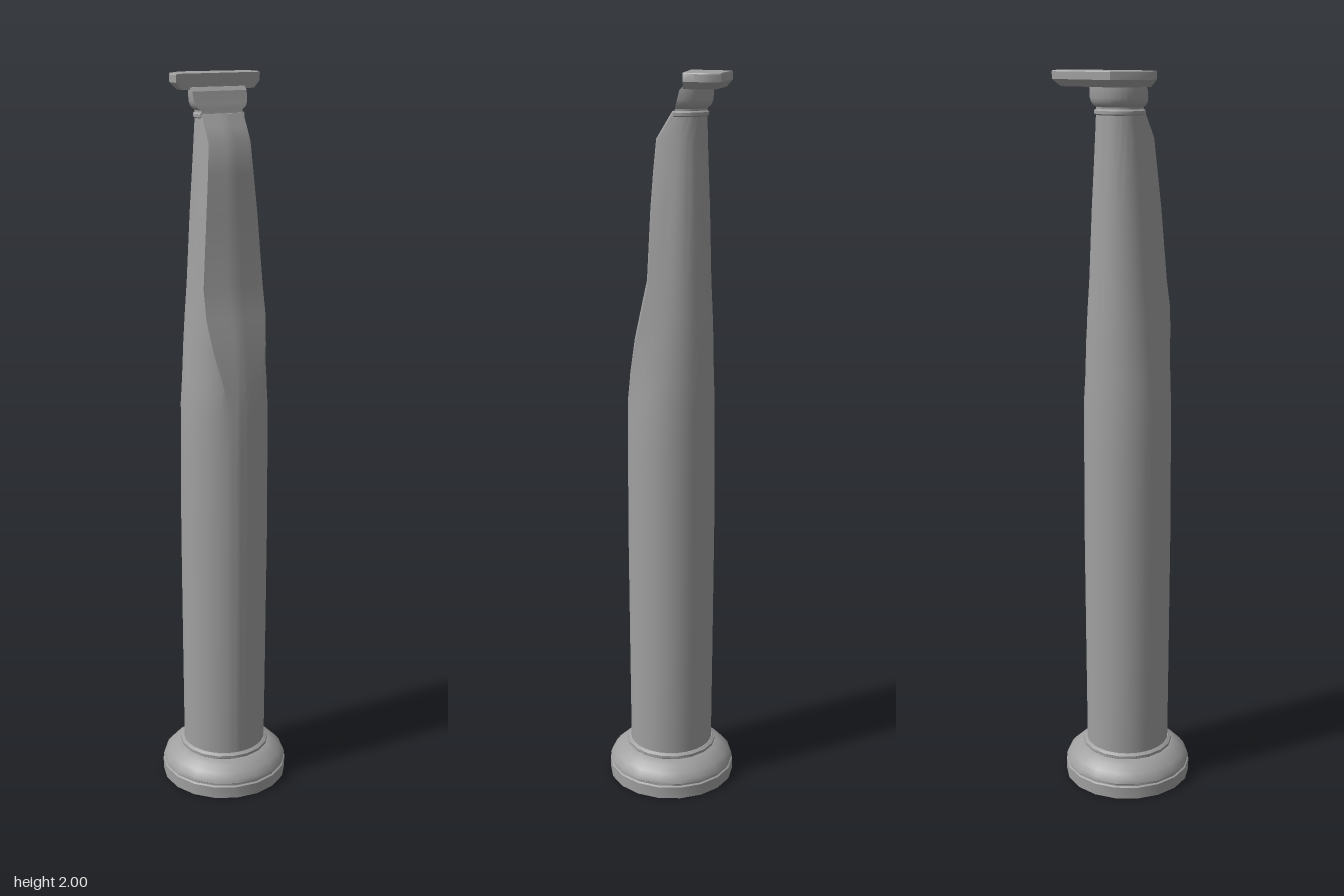
import * as THREE from 'three';
import { toCreasedNormals } from 'three/addons/utils/BufferGeometryUtils.js';

const CREASE = 0.5, FACE = 12, ARC = 36;
const material = new THREE.MeshStandardMaterial({ color: 0xa0a0a0 });

function part(name, geometry) {
  const mesh = new THREE.Mesh(toCreasedNormals(geometry, CREASE), material);
  mesh.name = name;
  return mesh;
}

// Skins a stack of equal-length rings and closes both ends with fans
function loft(name, rings) {
  const pos = [], n = rings[0].length;
  const tri = (...pts) => pts.forEach(p => pos.push(p.x, p.y, p.z));
  const middle = r => r.reduce((s, p) => s.add(p), new THREE.Vector3()).divideScalar(n);
  const low = rings[0], high = rings[rings.length - 1];
  const lowMiddle = middle(low), highMiddle = middle(high);
  for (let j = 0; j < n; j++) {
    const k = (j + 1) % n;
    for (let i = 0; i < rings.length - 1; i++) {
      const a = rings[i], b = rings[i + 1];
      tri(a[j], b[j], a[k]);
      tri(b[j], b[k], a[k]);
    }
    tri(lowMiddle, low[j], low[k]);
    tri(highMiddle, high[k], high[j]);
  }
  const geo = new THREE.BufferGeometry();
  geo.setAttribute('position', new THREE.Float32BufferAttribute(pos, 3));
  return part(name, geo);
}

// Round section whose front is broken off along cut(x); the front half may be deepened
function brokenRing(y, r, cz, cut, deepen = 1) {
  const point = a => {
    const x = r * Math.cos(a), s = Math.sin(a);
    return [x, cz + r * s * (s > 0 ? deepen : 1)];
  };
  // Angle at which the round side meets the broken face
  const corner = side => {
    let lo = -0.6, hi = 1.2;
    for (let i = 0; i < 24; i++) {
      const mid = (lo + hi) / 2, [x, z] = point(mid);
      if (z < cut(side * x)) lo = mid; else hi = mid;
    }
    return hi;
  };
  const start = corner(1), end = Math.PI - corner(-1);
  const angles = [];
  for (let i = 0; i < FACE; i++) angles.push(start + (end - start) * i / FACE);
  for (let i = 0; i < ARC; i++) angles.push(end + (start + 2 * Math.PI - end) * i / ARC);
  return angles.map(a => {
    const [x, z] = point(a);
    return new THREE.Vector3(x, y, Math.min(z, cut(x)));
  });
}

export function createModel() {
  const group = new THREE.Group();
  group.name = 'brokenColumn';

  // Turned foot: plinth with groove and curved moulding, then a thin collar
  const turned = (name, profile) => group.add(part(name, new THREE.LatheGeometry(
    profile.map(([r, y]) => new THREE.Vector2(r, y)), 18, THREE.MathUtils.degToRad(5.8))));
  turned('base', [[0, 0], [0.18, 0], [0.18, 0.034], [0.175, 0.037], [0.175, 0.042], [0.179, 0.045],
    [0.176, 0.055], [0.164, 0.07], [0.145, 0.085], [0.126, 0.095], [0, 0.095]]);
  turned('footCollar', [[0, 0.092], [0.122, 0.092], [0.128, 0.097], [0.128, 0.105], [0.12, 0.11], [0, 0.11]]);

  // Shaft: height, radius, centre z, depth of the broken face, deepening of the front
  const shaft = [[0.1, 0.117, 0, 1, 1], [0.4, 0.119, 0, 1, 1], [0.75, 0.121, 0, 1, 1], [1.0, 0.12, 0, 1, 1],
    [1.13, 0.119, 0, 0.122, 1], [1.2, 0.114, -0.002, 0.114, 1.1], [1.3, 0.108, -0.006, 0.1, 1.3],
    [1.38, 0.102, -0.009, 0.083, 1.6], [1.46, 0.095, -0.012, 0.066, 1.9], [1.65, 0.082, -0.02, 0.056, 2],
    [1.75, 0.074, -0.024, 0.048, 2], [1.83, 0.068, -0.027, 0.04, 2], [1.87, 0.065, -0.029, 0.016, 1.7],
    [1.9, 0.063, -0.03, -0.002, 1.3]];
  group.add(loft('shaft', shaft.map(([y, r, cz, depth, deepen]) =>
    brokenRing(y, r, cz, x => depth - 0.13 * Math.abs(x) - 0.04 * x, deepen))));

  // Neck rings and capital, broken at the front on a slant: height, radius, depth
  const capital = [[1.888, 0.062, -0.008], [1.892, 0.068, -0.01], [1.9, 0.068, -0.012],
    [1.904, 0.063, -0.013], [1.909, 0.063, -0.014], [1.914, 0.071, -0.015], [1.922, 0.076, -0.017],
    [1.932, 0.079, -0.02], [1.956, 0.08, -0.026], [1.966, 0.08, -0.036]];
  group.add(loft('capital', capital.map(([y, r, depth]) =>
    brokenRing(y, r, -0.03, x => depth - 0.06 * x))));

  // Remaining slab of the top, bevelled below everywhere but on the broken front
  const outline = [[0.125, -0.045], [-0.118, -0.035], [-0.124, -0.06], [-0.11, -0.098],
    [-0.06, -0.153], [0.134, -0.143], [0.145, -0.12], [0.147, -0.1], [0.141, -0.075]];
  const slab = [[1.96, 0.86], [1.966, 0.91], [1.978, 1], [1.997, 1], [2, 0.985]];
  group.add(loft('topSlab', slab.map(([y, s]) => outline.map(([x, z]) =>
    new THREE.Vector3(x * s, y, -0.04 + (z + 0.04) * s)))));

  return group;
}
